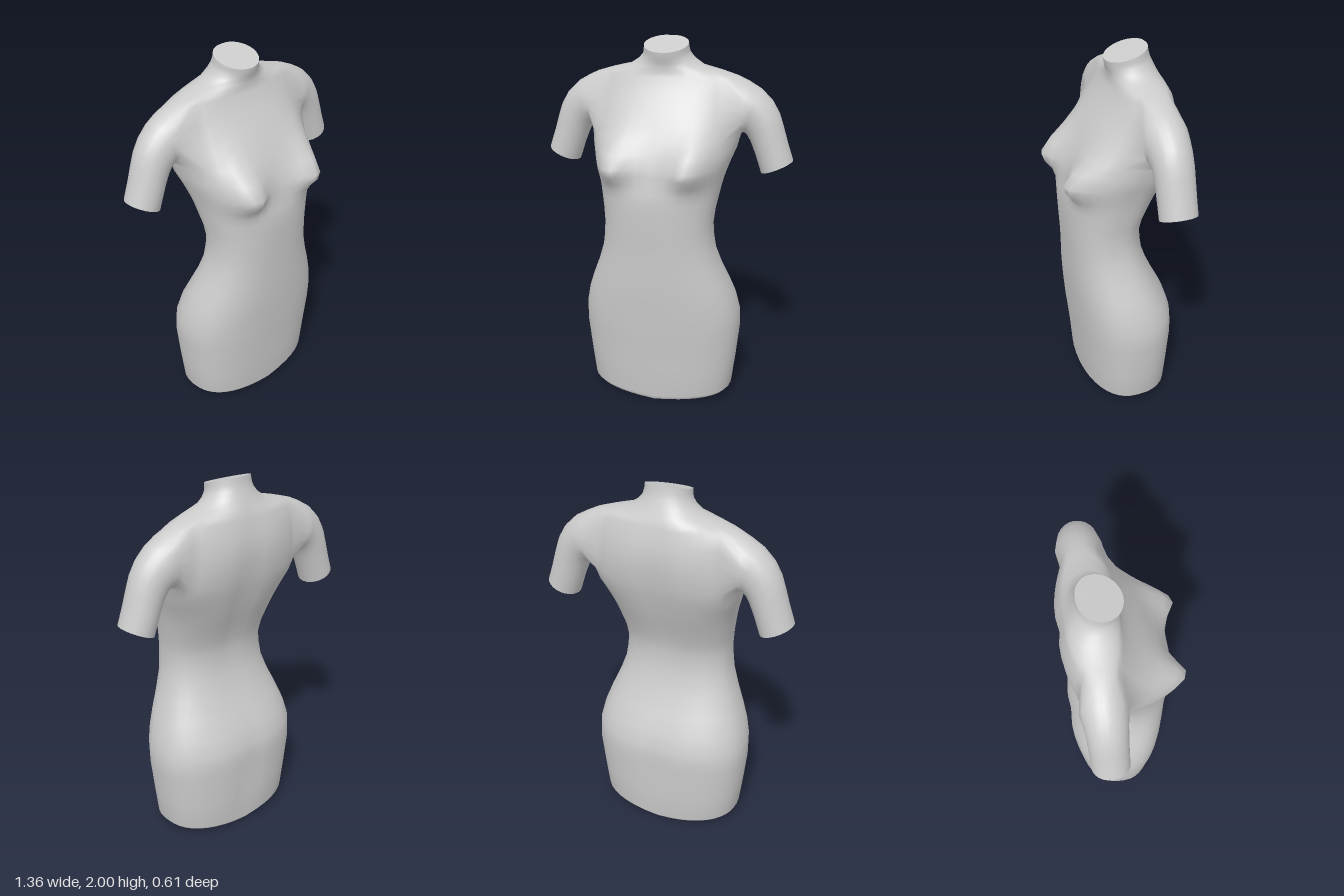
import * as THREE from 'three';

const COLS = 40, HALF = 4;              // columns round the body, half width of an arm opening
const ROW_LOW = 19, ROW_HIGH = 23;      // rows bounding the arm openings

// Key body sections: height, half width, front z, back z, z of the widest point
const KEYS = [
  [0.025, 0.402, 0.182, -0.285, -0.04],
  [0.40, 0.440, 0.215, -0.307, -0.04],
  [0.52, 0.437, 0.225, -0.302, -0.03],
  [0.70, 0.385, 0.240, -0.225, 0.00],
  [0.90, 0.310, 0.250, -0.145, 0.04],
  [1.05, 0.294, 0.260, -0.131, 0.05],
  [1.20, 0.315, 0.266, -0.175, 0.01],
  [1.29, 0.334, 0.250, -0.212, -0.02],
  [1.38, 0.363, 0.232, -0.245, -0.06],
  [1.51, 0.402, 0.180, -0.284, -0.12],
  [1.66, 0.400, 0.095, -0.300, -0.13],
  [1.81, 0.385, 0.010, -0.268, -0.13],
  [1.86, 0.200, 0.005, -0.248, -0.12],
  [1.92, 0.126, 0.016, -0.212, -0.10],
  [1.97, 0.118, 0.022, -0.197, -0.09],
];

// Arm sections: upper edge x, y, lower edge x, y, half depth
const ARM = [
  [0.435, 1.787, 0.410, 1.518, 0.118],
  [0.500, 1.750, 0.422, 1.516, 0.109],
  [0.560, 1.692, 0.436, 1.502, 0.103],
  [0.600, 1.625, 0.452, 1.474, 0.100],
  [0.625, 1.552, 0.468, 1.437, 0.098],
  [0.650, 1.470, 0.486, 1.390, 0.097],
  [0.682, 1.378, 0.515, 1.305, 0.096],
];

const gauss = (d, s) => Math.exp(-d * d / (s * s));
const power = (v, n) => Math.sign(v) * Math.pow(Math.abs(v), 2 / n);

// Slope of value k at key i, limited so that the curve never overshoots
function slope(i, k) {
  if (i === 0 || i === KEYS.length - 1) return 0;
  const step = q => (KEYS[q + 1][k] - KEYS[q][k]) / (KEYS[q + 1][0] - KEYS[q][0]);
  const a = step(i - 1), b = step(i);
  return a * b > 0 ? 2 * a * b / (a + b) : 0;
}

// Rounded hem, then every key section with a smooth section halfway to the next
function bodySections() {
  const [, w, front, back, mid] = KEYS[0];
  const rows = [[0, w - 0.02, front - 0.015, back + 0.02, mid]];
  KEYS.forEach((key, i) => {
    rows.push(key);
    const next = KEYS[i + 1];
    if (!next) return;
    const span = next[0] - key[0];
    rows.push(key.map((v, k) => (v + next[k]) / 2 +
      (k ? span * (slope(i, k) - slope(i + 1, k)) / 8 : 0)));
  });
  return rows;
}

// One point of a body section, with bust, spine groove, sloping hem and tilted neck
function bodyPoint([h, w, front, back, mid], j) {
  const a = (j / COLS) * Math.PI * 2;
  const n = 2.4 - 0.4 * THREE.MathUtils.smoothstep(h, 1.4, 1.85);
  const c = power(Math.cos(a), n);
  const x = w * power(Math.sin(a), n);
  let y = h, z = mid + c * (c > 0 ? front - mid : mid - back);
  if (c > 0) {
    const rise = gauss(h - 1.375, h > 1.375 ? 0.13 : 0.085);
    z += 0.115 * rise * gauss(Math.abs(x) - 0.215, 0.095) * Math.min(1, c * 2);
  } else {
    const groove = 0.02 * gauss(h - 1.5, 0.35) + 0.015 * gauss(h - 0.35, 0.25);
    z += groove * gauss(x, 0.06);
  }
  if (h < 0.2) y += 0.035 * (Math.abs(x) / 0.4) * (1 - h / 0.2);
  if (h > 1.86) y = Math.min(2, h - 0.3 * (z + 0.09) * (h - 1.86) / 0.11);
  return [x, y, z];
}

function makeMesh(name, points, index, material) {
  const geometry = new THREE.BufferGeometry();
  geometry.setAttribute('position', new THREE.Float32BufferAttribute(points.flat(), 3));
  geometry.setIndex(index);
  geometry.computeVertexNormals();
  const mesh = new THREE.Mesh(geometry, material);
  mesh.name = name;
  return mesh;
}

// Fan closing a ring; flip turns it to face the other way
function makeCap(name, ring, flip, material) {
  const centre = [0, 1, 2].map(k => ring.reduce((sum, p) => sum + p[k], 0) / ring.length);
  const index = [];
  ring.forEach((_, i) => {
    const next = (i + 1) % ring.length;
    index.push(ring.length, ...(flip ? [next, i] : [i, next]));
  });
  return makeMesh(name, [...ring, centre], index, material);
}

export function createModel() {
  const group = new THREE.Group();
  group.name = 'dressForm';
  const material = new THREE.MeshStandardMaterial({ color: 0xcccccc });
  const points = [], index = [];
  const quad = (a, b, c, d) => index.push(a, b, c, a, c, d);
  const id = (r, j) => r * COLS + (j % COLS);

  // Torso skin, leaving an opening on each side for the arms
  const sections = bodySections();
  sections.forEach(s => {
    for (let j = 0; j < COLS; j++) points.push(bodyPoint(s, j));
  });
  const inOpening = (r, j) => r >= ROW_LOW && r < ROW_HIGH &&
    [COLS / 4, COLS * 3 / 4].some(m => j >= m - HALF && j < m + HALF);
  for (let r = 0; r < sections.length - 1; r++) {
    for (let j = 0; j < COLS; j++) {
      if (!inOpening(r, j)) quad(id(r, j), id(r, j + 1), id(r + 1, j + 1), id(r + 1, j));
    }
  }

  // Arms grown out of the rims of the openings
  for (const side of [1, -1]) {
    const m = side > 0 ? COLS / 4 : COLS * 3 / 4;
    const j0 = m - HALF, j1 = m + HALF;
    let ring = [];
    for (let j = j0; j < j1; j++) ring.push(id(ROW_LOW, j));
    for (let r = ROW_LOW; r < ROW_HIGH; r++) ring.push(id(r, j1));
    for (let j = j1; j > j0; j--) ring.push(id(ROW_HIGH, j));
    for (let r = ROW_HIGH; r > ROW_LOW; r--) ring.push(id(r, j0));
    const count = ring.length;

    for (const [ux, uy, lx, ly, depth] of ARM) {
      const next = ring.map((_, i) => {
        const a = (i / count) * Math.PI * 2 - Math.PI * 5 / 6;
        const s = Math.sin(a) / 2;
        points.push([
          side * ((ux + lx) / 2 + (ux - lx) * s),
          (uy + ly) / 2 + (uy - ly) * s,
          -0.132 - side * depth * Math.cos(a),
        ]);
        return points.length - 1;
      });
      for (let i = 0; i < count; i++) {
        const k = (i + 1) % count;
        quad(ring[i], ring[k], next[k], next[i]);
      }
      ring = next;
    }
    group.add(makeCap(side > 0 ? 'leftArmEnd' : 'rightArmEnd', ring.map(i => points[i]), false, material));
  }
  group.add(makeMesh('body', points, index, material));

  // Flat ends at hem and neck
  const top = (sections.length - 1) * COLS;
  group.add(makeCap('base', points.slice(0, COLS), true, material));
  group.add(makeCap('neckTop', points.slice(top, top + COLS), false, material));
  return group;
}
